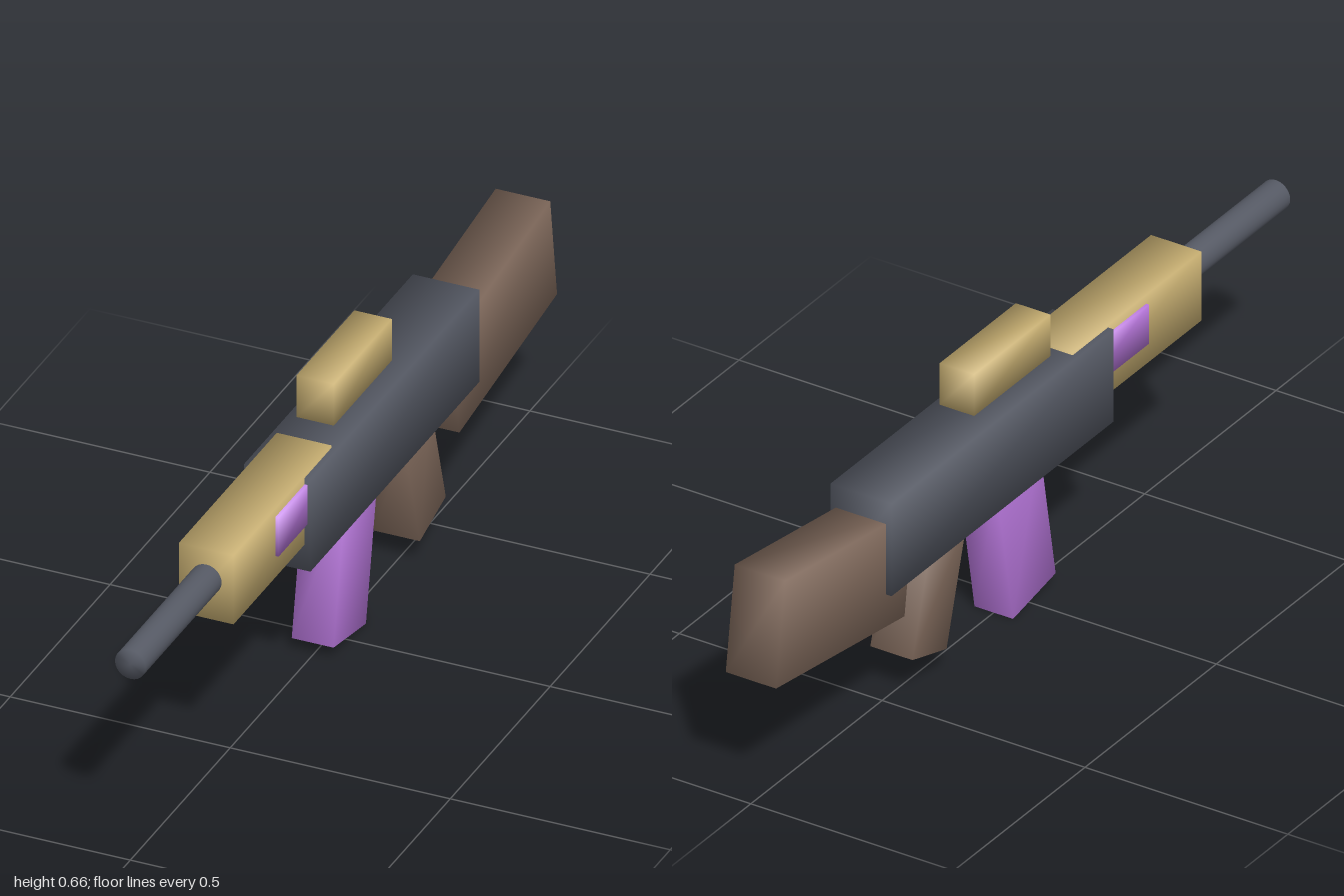
import * as THREE from 'three';
import { mergeVertices } from 'three/addons/utils/BufferGeometryUtils.js';

// Weld shared corners so each block shades softly across its edges
function soften(geometry) {
  geometry.deleteAttribute('normal');
  geometry.deleteAttribute('uv');
  const welded = mergeVertices(geometry, 1e-4);
  welded.computeVertexNormals();
  return welded;
}

function material(name, color) {
  const m = new THREE.MeshStandardMaterial({ color });
  m.name = name;
  return m;
}

export function createModel() {
  const group = new THREE.Group();
  group.name = 'toyRifle';

  const steel = material('slate grey', 0x565a65);
  const sand = material('sand', 0xcbb274);
  const wood = material('brown', 0x826b5d);
  const violet = material('violet', 0xb877dc);

  function add(name, geometry, mat, y, z, tilt = 0) {
    const mesh = new THREE.Mesh(soften(geometry), mat);
    mesh.name = name;
    mesh.position.set(0, y, z);
    mesh.rotation.x = tilt;
    group.add(mesh);
  }
  const box = (w, h, d) => new THREE.BoxGeometry(w, h, d);

  // Body and front end
  add('receiver', box(0.151, 0.222, 0.845), steel, 0.426, -0.158);
  add('handguard', box(0.124, 0.166, 0.49), sand, 0.46, 0.375);
  add('sidePanels', box(0.138, 0.094, 0.25), violet, 0.475, 0.285);
  add('barrel', new THREE.CylinderGeometry(0.035, 0.035, 0.45, 24).rotateX(Math.PI / 2), steel, 0.471, 0.775);

  // Sight floating above the body
  add('scope', box(0.085, 0.1, 0.29), sand, 0.606, -0.07);

  // Tilted parts
  add('stock', box(0.124, 0.244, 0.494), wood, 0.383, -0.738, 0.14);
  add('magazine', box(0.095, 0.35, 0.165), violet, 0.187, -0.025, -0.18);
  add('grip', box(0.104, 0.28, 0.135), wood, 0.212, -0.361, 0.28);

  return group;
}
